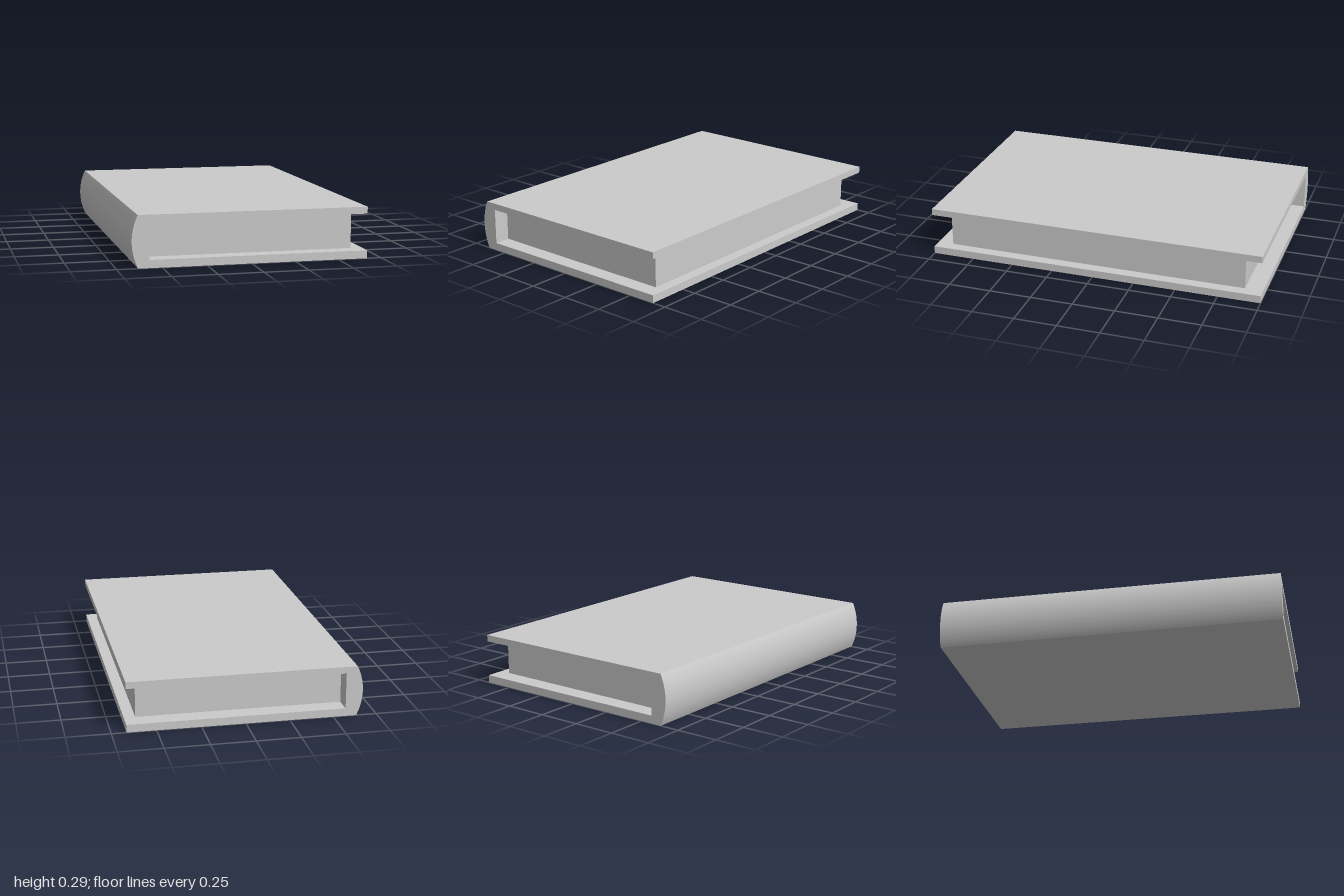
import * as THREE from 'three';
import { toCreasedNormals } from 'three/addons/utils/BufferGeometryUtils.js';

const HEIGHT = 0.292, LENGTH = 2;
const FORE_EDGE = 0.667, HINGE = -0.633, SPINE_INNER = -0.57;
const PAGES_BOTTOM = 0.045, PAGES_TOP = 0.253;

export function createModel() {
  const book = new THREE.Group();
  book.name = 'book';
  const material = new THREE.MeshStandardMaterial({ color: 0xcccccc });

  // Cover: a C-shaped profile whose spine is a shallow arc, run along z
  const bulge = HINGE + FORE_EDGE;
  const half = HEIGHT / 2;
  const radius = (half * half + bulge * bulge) / (2 * bulge);
  const angle = Math.asin(half / radius);
  const profile = new THREE.Shape();
  profile.moveTo(HINGE, 0);
  profile.lineTo(FORE_EDGE, 0);
  profile.lineTo(FORE_EDGE, PAGES_BOTTOM);
  profile.lineTo(SPINE_INNER, PAGES_BOTTOM);
  profile.lineTo(SPINE_INNER, PAGES_TOP);
  profile.lineTo(FORE_EDGE, PAGES_TOP);
  profile.lineTo(FORE_EDGE, HEIGHT);
  profile.lineTo(HINGE, HEIGHT);
  profile.absarc(radius - FORE_EDGE, half, radius, Math.PI - angle, Math.PI + angle, false);

  const coverGeometry = new THREE.ExtrudeGeometry(profile, {
    depth: LENGTH, bevelEnabled: false, curveSegments: 16,
  });
  coverGeometry.translate(0, 0, -LENGTH / 2);
  const cover = new THREE.Mesh(toCreasedNormals(coverGeometry, Math.PI / 6), material);
  cover.name = 'cover';
  book.add(cover);

  // Page block, set back from the edges of the cover
  const foreEdge = 0.603, front = 0.905, back = -0.895;
  const pages = new THREE.Mesh(
    new THREE.BoxGeometry(foreEdge - SPINE_INNER, PAGES_TOP - PAGES_BOTTOM, front - back), material);
  pages.name = 'pages';
  pages.position.set((foreEdge + SPINE_INNER) / 2, (PAGES_TOP + PAGES_BOTTOM) / 2, (front + back) / 2);
  book.add(pages);

  return book;
}
